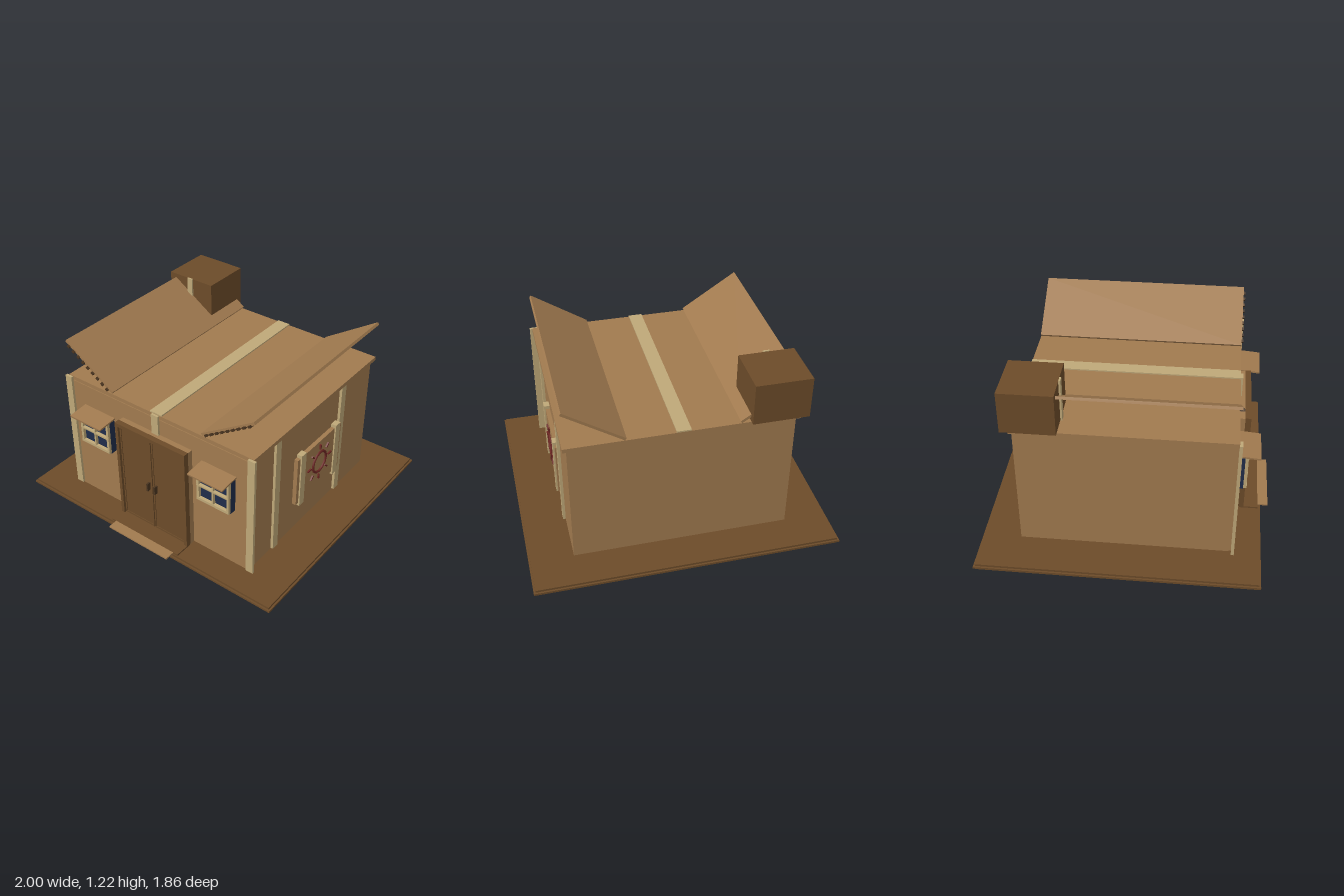
import * as THREE from 'three';

const paint = (name, color) => {
  const m = new THREE.MeshStandardMaterial({ color });
  m.name = name;
  return m;
};

export function createModel() {
  const wood = paint('warm wood', 0xa17a4f);
  const dark = paint('dark wood', 0x6c4b29);
  const cream = paint('pale timber', 0xbfa878);
  const navy = paint('navy glass', 0x202d4a);
  const red = paint('sun red', 0x6e2723);
  const peg = paint('peg brown', 0x4a3520);

  const model = new THREE.Group();
  model.name = 'cabin';

  const add = (parent, name, geometry, material) => {
    const mesh = new THREE.Mesh(geometry, material);
    mesh.name = name;
    parent.add(mesh);
    return mesh;
  };
  // Box given by its lower and upper limits on each axis
  const box = (name, material, [x0, x1], [y0, y1], [z0, z1], parent = model) => {
    const mesh = add(parent, name, new THREE.BoxGeometry(x1 - x0, y1 - y0, z1 - z0), material);
    mesh.position.set((x0 + x1) / 2, (y0 + y1) / 2, (z0 + z1) / 2);
    return mesh;
  };
  const group = (name, parent = model) => {
    const g = new THREE.Group();
    g.name = name;
    parent.add(g);
    return g;
  };

  // Ground platform with a projecting middle layer
  box('platformBottom', dark, [-0.988, 0.988], [0, 0.015], [-0.918, 0.868]);
  box('platformMiddle', dark, [-1, 1], [0.015, 0.028], [-0.93, 0.88]);
  box('platformTop', dark, [-0.988, 0.988], [0.028, 0.042], [-0.918, 0.868]);

  // Walls and flat roof
  box('walls', wood, [-0.71, 0.71], [0.042, 0.9], [-0.675, 0.675]);
  box('frontPanel', wood, [-0.705, 0.705], [0.042, 0.895], [0.675, 0.69]);
  box('roof', wood, [-0.735, 0.735], [0.9, 0.927], [-0.69, 0.69]);
  box('roofRidgeStrip', cream, [-0.046, 0.046], [0.927, 0.936], [-0.69, 0.69]);
  box('doorPost', cream, [-0.027, 0.027], [0.77, 0.925], [0.69, 0.705]);

  // Raised roof flaps with a row of pegs along the front end
  const slope = Math.atan2(0.245, 0.375);
  const length = 0.448;
  for (const side of [-1, 1]) {
    const flap = group(side > 0 ? 'leftRoofFlap' : 'rightRoofFlap');
    flap.position.set(side * 0.36, 0.928, 0);
    flap.rotation.y = side > 0 ? 0 : Math.PI;
    const tilt = group('flapTilt', flap);
    tilt.rotation.z = slope;
    box('flapBoard', wood, [0, length], [0, 0.018], [-0.69, 0.69], tilt);
    for (let i = 0; i < 9; i++) {
      const x = 0.04 + i * 0.046;
      box('flapPeg', peg, [x - 0.01, x + 0.01], [-0.008, 0.006],
        side > 0 ? [0.675, 0.702] : [-0.702, -0.675], tilt);
    }
    box('cornerPost', cream, side > 0 ? [0.7, 0.752] : [-0.752, -0.7], [0.05, 0.923], [0.688, 0.707]);
  }

  // Chimney block
  box('chimney', dark, [-0.773, -0.413], [0.938, 1.215], [-0.732, -0.39]);
  box('chimneyStrip', cream, [-0.615, -0.573], [0.934, 1.219], [-0.39, -0.378]);

  // Doorway
  const door = group('doorway');
  box('doorSurround', wood, [-0.278, 0.278], [0.042, 0.783], [0.69, 0.735], door);
  box('doorLintel', dark, [-0.28, 0.28], [0.762, 0.787], [0.73, 0.767], door);
  box('doorBack', peg, [-0.255, 0.255], [0.05, 0.762], [0.735, 0.738], door);
  for (const s of [-1, 1]) {
    const span = (a, b) => (s > 0 ? [a, b] : [-b, -a]);
    box('doorJamb', dark, span(0.257, 0.28), [0.05, 0.762], [0.73, 0.767], door);
    box('doorLeaf', dark, span(0.004, 0.254), [0.055, 0.758], [0.735, 0.748], door);
    box('leafStile', dark, span(0.004, 0.014), [0.055, 0.758], [0.748, 0.753], door);
    box('leafStile', dark, span(0.244, 0.254), [0.055, 0.758], [0.748, 0.753], door);
    for (const y of [0.055, 0.746]) {
      box('leafRail', dark, span(0.014, 0.244), [y, y + 0.012], [0.748, 0.753], door);
    }
    box('doorHandle', peg, span(0.024, 0.035), [0.36, 0.418], [0.748, 0.775], door);
  }
  box('doorSill', dark, [-0.28, 0.28], [0.042, 0.052], [0.735, 0.862], door);
  box('doorStep', wood, [-0.245, 0.245], [0.042, 0.052], [0.862, 0.93], door);

  // Windows with cream bars and small sloping awnings
  for (const cx of [-0.482, 0.482]) {
    const win = group(cx > 0 ? 'leftWindow' : 'rightWindow');
    win.position.x = cx;
    box('windowPane', navy, [-0.122, 0.122], [0.482, 0.732], [0.69, 0.735], win);
    for (const x of [-0.113, 0, 0.113]) {
      const w = x ? 0.009 : 0.006;
      box('windowUpright', cream, [x - w, x + w], [0.49, 0.73], [0.735, 0.755], win);
    }
    for (const [y, w] of [[0.5, 0.009], [0.605, 0.006], [0.71, 0.009]]) {
      box('windowBar', cream, [-0.122, 0.122], [y - w, y + w], [0.735, 0.757], win);
    }
    const awning = box('awning', wood, [-0.13, 0.13], [0.726, 0.737], [0.69, 0.83], win);
    awning.rotation.x = 0.09;
  }

  // Timbers on the left wall
  for (const z of [0.425, -0.31]) {
    box('wallPost', cream, [0.71, 0.728], [0.05, 0.905], [z - 0.026, z + 0.026]);
  }

  // Sun plaque
  const plaque = group('sunPlaque');
  box('plaqueBoard', wood, [0.71, 0.738], [0.262, 0.622], [-0.288, 0.22], plaque);
  for (const z of [0.166, -0.235]) {
    box('plaqueTimber', cream, [0.71, 0.748], [0.24, 0.645], [z - 0.026, z + 0.026], plaque);
  }
  const sun = group('sun', plaque);
  sun.position.set(0.742, 0.46, -0.035);
  sun.rotation.y = Math.PI / 2;
  add(sun, 'sunRing', new THREE.TorusGeometry(0.077, 0.009, 6, 12), red);
  for (let i = 0; i < 8; i++) {
    const a = (i * Math.PI) / 4;
    const ray = add(sun, 'sunRay', new THREE.BoxGeometry(0.036, 0.01, 0.014), red);
    ray.position.set(Math.cos(a) * 0.119, Math.sin(a) * 0.119, 0);
    ray.rotation.z = a;
  }
  return model;
}
